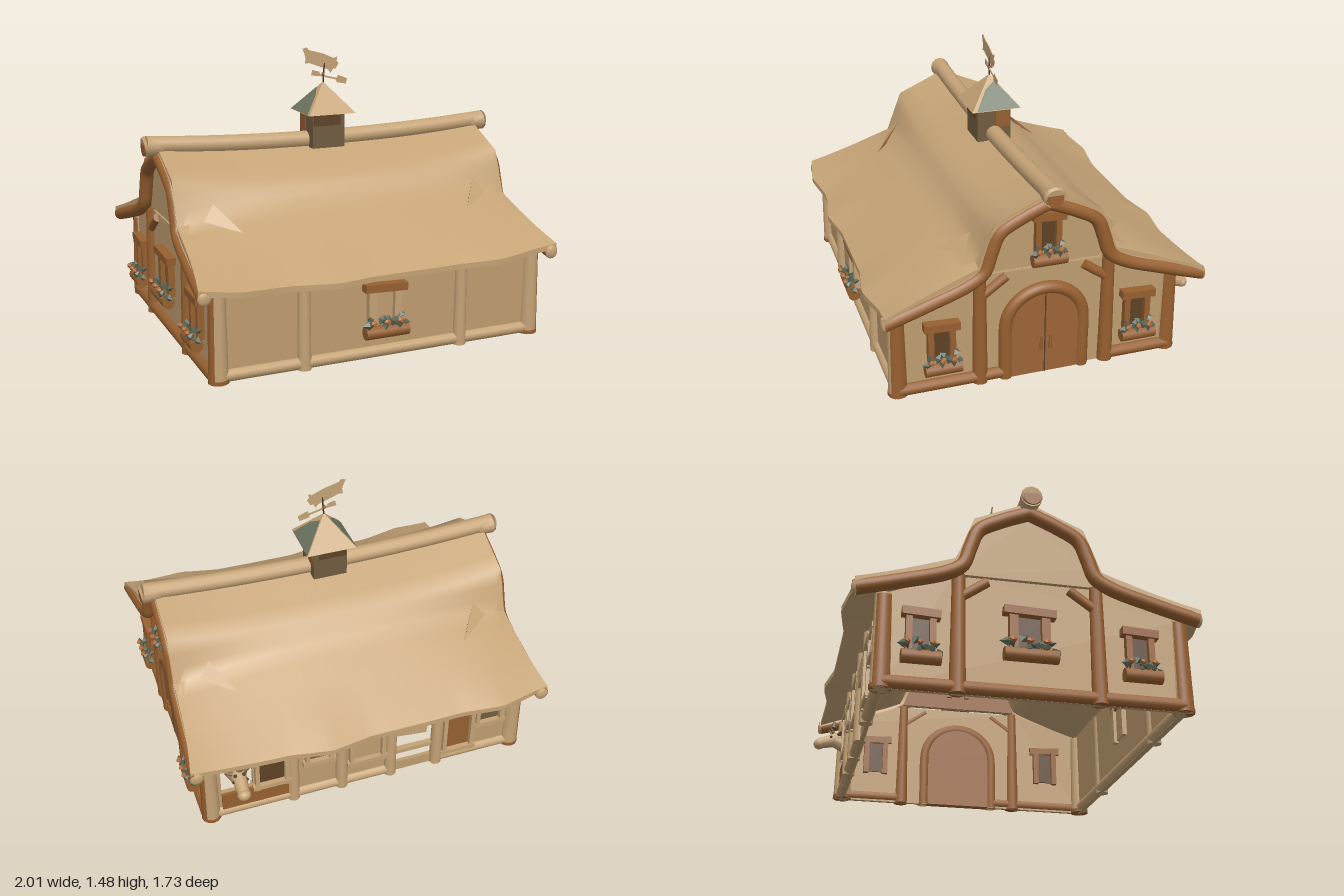
import * as THREE from 'three';
import { toCreasedNormals } from 'three/addons/utils/BufferGeometryUtils.js';
import { ParametricGeometry } from 'three/addons/geometries/ParametricGeometry.js';

const mat = (name, color, side = THREE.FrontSide) => {
  const m = new THREE.MeshStandardMaterial({ color, side });
  m.name = name;
  return m;
};
const M = {
  tan: mat('tan thatch and timber', 0xc5a376, THREE.DoubleSide),
  wall: mat('plaster', 0xbf9d70),
  brown: mat('brown timber', 0x976030, THREE.DoubleSide),
  door: mat('door wood', 0x9c6538),
  dark: mat('dark wood', 0x5f4226),
  worn: mat('weathered wood', 0x715c40),
  slate: mat('mossy slate', 0x6f7762, THREE.DoubleSide),
  leaf: mat('leaves', 0x586455),
  flower: mat('flowers', 0xb56c38),
  iron: mat('iron', 0x3c3228),
};
const FRONT = 0.75, BACK = 0.68;
const V = (x, y, z) => new THREE.Vector3(x, y, z);

function add(parent, name, geo, material, x = 0, y = 0, z = 0) {
  const m = new THREE.Mesh(geo, material);
  m.name = name;
  m.position.set(x, y, z);
  parent.add(m);
  return m;
}
const box = (p, name, mt, w, h, d, x, y, z) => add(p, name, new THREE.BoxGeometry(w, h, d), mt, x, y, z);

// Round timber between two points
function log(p, name, mt, a, b, r0, r1 = r0) {
  const m = add(p, name, new THREE.CylinderGeometry(r1, r0, a.distanceTo(b), 12), mt);
  m.position.copy(a).lerp(b, 0.5);
  m.quaternion.setFromUnitVectors(V(0, 1, 0), b.clone().sub(a).normalize());
  return m;
}
const poly = pts => new THREE.Shape(pts.map(p => new THREE.Vector2(p[0], p[1])));
const rect = (x0, y0, x1, y1) => poly([[x0, y0], [x1, y0], [x1, y1], [x0, y1]]);
const slab = (shape, depth) => new THREE.ExtrudeGeometry(shape, { depth, bevelEnabled: false, curveSegments: 16 });

// Triangles from a flat list of corners
function facets(corners) {
  const geo = new THREE.BufferGeometry();
  geo.setAttribute('position', new THREE.Float32BufferAttribute(corners.flat(), 3));
  geo.computeVertexNormals();
  return geo;
}

// Gives triangles whose normal passes the test the second material
function paintFacing(indexed, test) {
  const geo = indexed.toNonIndexed(), n = geo.attributes.normal;
  const mean = (i, get) => (n[get](i) + n[get](i + 1) + n[get](i + 2)) / 3;
  geo.clearGroups();
  for (let i = 0; i < n.count; i += 3) geo.addGroup(i, 3, test(mean(i, 'getY'), mean(i, 'getZ')) ? 1 : 0);
  return geo;
}

// Roof: a closed section loop swept along x, steep gambrel at the ends, softer in the middle.
// Each profile row is z, height at the ends, height in the middle.
const PROFILE = [[0, 1.01, 0.965], [0.27, 0.89, 0.835], [0.355, 0.665, 0.735], [0.6, 0.575, 0.585], [0.825, 0.495, 0.45]];
function roofGeometry() {
  const NU = 60, lerp = THREE.MathUtils.lerp;
  const bump = (e, c) => Math.max(0, 1 - Math.abs(e - c) / 0.22);
  const f = (u, v, out) => {
    const i = Math.round(u * NU), k = Math.round(v * 50) % 50;
    const e = THREE.MathUtils.clamp((i - 1) / (NU - 2), 0, 1) * 2 - 1;
    const inner = k > 24 && i > 0 && i < NU;
    const s = ((k > 24 ? 49 - k : k) - 12) / 3;
    const t = Math.abs(s), n = Math.min(3, Math.floor(t)), q = t - n;
    const a = PROFILE[n], b = PROFILE[n + 1], w = t / 4;
    let z = lerp(a[0], b[0], q);
    let y = lerp(lerp(a[2], b[2], q), lerp(a[1], b[1], q), Math.abs(e) ** 3);
    if (n === 3) for (const c of s > 0 ? [-0.8, -0.28, 0.64] : [-0.72, 0.25]) z += 0.035 * q * bump(e, c);
    if (inner) y -= 0.05 - 0.022 * w * w;
    out.set(e * (0.928 + 0.045 * w ** 4), y, z * Math.sign(s));
  };
  return toCreasedNormals(new ParametricGeometry(f, NU, 50), 0.8);
}

// Framed window with header and flower box; y is the bottom of the box
function flowerWindow(p, x, y, pane, jamb = M.brown, s = 1) {
  const g = new THREE.Group();
  g.name = 'flowerWindow';
  g.position.set(x, y, 0);
  g.scale.set(s, 1, 1);
  p.add(g);
  box(g, 'pane', pane, 0.1, 0.18, 0.036, 0, 0.15, 0);
  for (const k of [-1, 1]) box(g, 'jamb', jamb, 0.03, 0.2, 0.08, k * 0.055, 0.15, 0.005);
  const header = box(g, 'header', M.brown, 0.18, 0.04, 0.09, 0, 0.255, 0.015);
  header.rotation.z = -0.05;
  log(g, 'planter', M.brown, V(-0.092, 0.03, 0.055), V(0.092, 0.03, 0.055), 0.033);
  for (let i = 0; i < 10; i++) {
    const bx = -0.085 + i * 0.019;
    const leaf = add(g, 'leaf', new THREE.OctahedronGeometry(0.025), M.leaf, bx, 0.08 + 0.022 * Math.sin(i * 2.6), 0.06 + 0.022 * Math.cos(i * 1.9));
    leaf.scale.set(1.1, 0.9, 0.6);
    leaf.rotation.set(i, i * 2, i * 0.7);
    if (i % 3 === 1) add(g, 'flower', new THREE.IcosahedronGeometry(0.015), M.flower, bx, 0.09, 0.09);
  }
}

function wallGroup(root, name, angle, dist) {
  const g = new THREE.Group();
  g.name = name;
  g.rotation.y = angle;
  g.position.set(Math.sin(angle) * dist, 0, Math.cos(angle) * dist);
  root.add(g);
  return g;
}

// Timbers and walls shared by both gables; x0 and x1 are the corner post positions
function gable(g, x0, x1) {
  const low = poly([[x0, 0], [x1, 0], [x1, 0.47], [0.36, 0.594], [-0.36, 0.594], [x0, 0.47]]);
  const high = poly([[-0.34, 0.606], [0.34, 0.606], [0.31, 0.7], [0.25, 0.84], [0, 0.95], [-0.25, 0.84], [-0.31, 0.7]]);
  add(g, 'lowerWall', slab(low, 0.02), M.wall, 0, 0, -0.01);
  add(g, 'upperWall', slab(high, 0.02), M.wall, 0, 0, -0.01);
  add(g, 'loftBoarding', slab(high, 0.008), M.brown, 0, 0, -0.019);
  const bleached = (ny, nz) => nz < 0.35 && ny > -0.1;
  for (const k of [-1, 1]) {
    const path = [[0, 0.955, 0.048], [0.14, 0.895, 0.048], [0.248, 0.83, 0.048], [0.29, 0.73, 0.048], [0.325, 0.635, 0.05], [0.4, 0.585, 0.054], [0.6, 0.518, 0.063], [0.825, 0.452, 0.073]];
    const curve = new THREE.CatmullRomCurve3(path.map(q => V(k * q[0], q[1], q[2])));
    add(g, 'vergeBeam', paintFacing(new THREE.TubeGeometry(curve, 36, 0.036, 16), bleached), [M.brown, M.tan]);
    const end = add(g, 'vergeEnd', new THREE.SphereGeometry(0.036, 10, 8), M.tan, k * 0.825, 0.452, 0.073);
    end.scale.x = 0.4;
    log(g, 'post', M.brown, V(k * 0.335, 0, 0.01), V(k * 0.335, 0.6, 0.01), 0.04, 0.032);
    log(g, 'brace', M.brown, V(k * 0.32, 0.49, 0.012), V(k * 0.2, 0.575, 0.012), 0.025);
  }
  for (const x of [x0, x1])
    add(g, 'cornerPostFace', new THREE.CylinderGeometry(0.043, 0.051, 0.46, 8, 1, false, -0.9, 1.8), M.brown, x, 0.23, -0.01);
}

// Arched double door with a rounded frame
function archDoor(g) {
  const spring = 0.285, leaf = new THREE.Shape();
  leaf.moveTo(-0.18, 0); leaf.lineTo(0.18, 0); leaf.lineTo(0.18, spring);
  leaf.absarc(0, spring, 0.18, 0, Math.PI, false);
  leaf.lineTo(-0.18, 0);
  add(g, 'doors', slab(leaf, 0.05), M.door, 0, 0, -0.02);
  const r = 0.203, pts = [V(r, 0, 0.012), V(r, 0.14, 0.012)];
  for (let i = 0; i <= 10; i++) pts.push(V(r * Math.cos(i * Math.PI / 10), spring + r * 0.95 * Math.sin(i * Math.PI / 10), 0.012));
  pts.push(V(-r, 0.14, 0.012), V(-r, 0, 0.012));
  add(g, 'doorFrame', new THREE.TubeGeometry(new THREE.CatmullRomCurve3(pts), 48, 0.035, 10), M.brown);
  box(g, 'doorGap', M.dark, 0.006, 0.45, 0.006, 0, 0.225, 0.03);
  for (const k of [-1, 1])
    log(g, 'handle', M.brown, V(k * 0.024, 0.14, 0.045), V(k * 0.024, 0.22, 0.045), 0.008);
}

// Cow leaning out of its stall
function cow(g) {
  const c = new THREE.Group();
  c.name = 'cow';
  c.position.set(-0.715, 0, 0);
  g.add(c);
  log(c, 'neck', M.tan, V(0, 0.25, -0.06), V(0, 0.3, 0.07), 0.055, 0.04);
  log(c, 'head', M.tan, V(0, 0.308, 0.05), V(0, 0.278, 0.155), 0.042, 0.031);
  add(c, 'brow', new THREE.SphereGeometry(0.042, 12, 8), M.tan, 0, 0.308, 0.05);
  add(c, 'muzzle', new THREE.SphereGeometry(0.036, 12, 8), M.tan, 0, 0.273, 0.16).scale.set(1, 0.85, 0.85);
  for (const k of [-1, 1]) {
    log(c, 'horn', M.worn, V(k * 0.022, 0.335, 0.08), V(k * 0.032, 0.375, 0.105), 0.01, 0.002);
    log(c, 'ear', M.worn, V(k * 0.03, 0.325, 0.05), V(k * 0.07, 0.335, 0.04), 0.014, 0.004);
    add(c, 'eye', new THREE.SphereGeometry(0.008, 6, 5), M.iron, k * 0.036, 0.31, 0.095);
  }
  log(c, 'bell', M.worn, V(0, 0.375, 0.08), V(0, 0.42, 0.08), 0.019, 0.004);
}

export function createModel() {
  const root = new THREE.Group();
  root.name = 'barn';

  // Roof, ridge log with swollen ends, and triangular vents
  add(root, 'roof', roofGeometry(), M.tan);
  const ridge = new THREE.QuadraticBezierCurve3(V(-0.98, 1.02, 0), V(0, 0.945, 0), V(0.98, 1.02, 0));
  add(root, 'ridgeLog', new THREE.TubeGeometry(ridge, 24, 0.046, 12), M.tan);
  for (const k of [-1, 1]) {
    log(root, 'ridgeEnd', M.tan, V(k * 0.9, 1.005, 0), V(k * 0.985, 1.012, 0), 0.046, 0.055);
    log(root, 'ridgeTip', M.tan, V(k * 0.985, 1.012, 0), V(k * 0.998, 1.01, 0), 0.055, 0.046);
    log(root, 'ridgeEndGrain', M.brown, V(k * 0.994, 1.005, 0), V(k, 1.005, 0), 0.043);
    for (const j of [-1, 1]) {
      const a = [k * 0.74, 0.765, j * 0.34], b = [k * 0.8, 0.69, j * 0.38], c = [k * 0.63, 0.64, j * 0.49], d = [k * 0.67, 0.67, j * 0.43];
      add(root, 'roofVent', facets([a, b, c]), M.tan);
      add(root, 'roofVentEdge', facets([a, c, d]), M.brown);
    }
  }

  // Front wall
  const front = wallGroup(root, 'frontWall', 0, FRONT);
  box(front, 'wall', M.wall, 1.74, 0.48, 0.02, 0, 0.24, 0);
  for (const x of [-0.425, 0.44]) log(front, 'post', M.tan, V(x, 0, 0.01), V(x, 0.46, 0.01), 0.036, 0.031);
  log(front, 'sill', M.tan, V(-0.86, 0.032, 0.005), V(0.86, 0.032, 0.005), 0.032);
  flowerWindow(front, 0, 0.12, M.wall, M.tan, 1.28);

  // Back wall with stalls, hatches and one open doorway
  const back = wallGroup(root, 'backWall', Math.PI, BACK);
  const shape = rect(-0.87, 0, 0.87, 0.5);
  shape.holes.push(rect(0.15, 0.06, 0.39, 0.39), rect(-0.8, 0.16, -0.63, 0.4));
  add(back, 'wall', slab(shape, 0.02), M.wall, 0, 0, -0.01);
  for (const x of [-0.41, -0.14, 0.14, 0.41]) log(back, 'post', M.tan, V(x, 0, 0.01), V(x, 0.48, 0.01), 0.034, 0.03);
  for (const [x0, x1] of [[-0.86, 0.14], [0.41, 0.86]]) log(back, 'sill', M.tan, V(x0, 0.03, 0.005), V(x1, 0.03, 0.005), 0.03);
  log(back, 'lintel', M.tan, V(-0.86, 0.41, 0.005), V(0.86, 0.41, 0.005), 0.025);
  const bays = [[-0.53, 0.16, 0.24, 0.28, M.dark], [-0.27, 0.13, 0.12, 0.3, M.worn], [0, 0.18, 0.22, 0.27, M.wall], [0.53, 0.16, 0.3, 0.22, M.brown], [0.71, 0.14, 0.13, 0.28, M.worn]];
  for (const [x, w, h, y, m] of bays) {
    box(back, 'hatch', m, w, h, 0.03, x, y, 0);
    for (const k of [-1, 1]) {
      box(back, 'hatchJamb', M.tan, 0.022, h + 0.04, 0.06, x + k * w / 2, y, 0.01);
      box(back, 'hatchRail', M.tan, w + 0.05, 0.025, 0.065, x, y + k * h / 2, 0.01);
    }
  }
  box(back, 'stallHalfDoor', M.brown, 0.36, 0.11, 0.04, -0.62, 0.1, 0.005);
  const gate = box(back, 'gate', M.tan, 0.18, 0.1, 0.02, 0.25, 0.32, 0.025);
  gate.rotation.z = -0.12;
  box(back, 'gateRail', M.tan, 0.25, 0.025, 0.03, 0.27, 0.14, 0);
  cow(back);

  // Corner posts with worn feet
  for (const x of [-0.86, 0.86]) for (const z of [-BACK, FRONT]) {
    log(root, 'cornerPost', M.tan, V(x, 0, z), V(x, 0.47, z), 0.049, 0.041);
    log(root, 'cornerFoot', M.brown, V(x, 0, z), V(x, 0.02, z), 0.052);
  }

  // Door gable on the left side of the barn
  const doorGable = wallGroup(root, 'doorGable', Math.PI / 2, 0.87);
  gable(doorGable, -FRONT, BACK);
  archDoor(doorGable);
  for (const [x0, x1] of [[-FRONT, -0.215], [0.335, BACK]]) log(doorGable, 'sill', M.brown, V(x0, 0.032, 0.012), V(x1, 0.032, 0.012), 0.032);
  for (const x of [-0.535, 0.495]) flowerWindow(doorGable, x, 0.115, M.dark);
  flowerWindow(doorGable, 0.005, 0.625, M.dark, M.brown, 0.95);

  // Opposite gable with three windows
  const windowGable = wallGroup(root, 'windowGable', -Math.PI / 2, 0.87);
  gable(windowGable, -BACK, FRONT);
  log(windowGable, 'sill', M.brown, V(-BACK, 0.032, 0.012), V(FRONT, 0.032, 0.012), 0.032);
  for (const x of [-0.51, 0.535]) flowerWindow(windowGable, x, 0.115, M.dark);
  flowerWindow(windowGable, 0, 0.17, M.dark, M.brown, 1.4);

  // Cupola with mossy patches on the side slopes
  const cupola = new THREE.Group();
  cupola.name = 'cupola';
  root.add(cupola);
  box(cupola, 'base', M.worn, 0.185, 0.2, 0.185, -0.005, 1.045, 0);
  for (const k of [-1, 1]) {
    box(cupola, 'louvre', M.dark, 0.15, 0.07, 0.006, -0.015, 1.1, k * 0.093);
    box(cupola, 'sideBoard', M.brown, 0.006, 0.12, 0.08, k * 0.093 - 0.005, 1.08, -0.045);
  }
  const cap = new THREE.ConeGeometry(0.135 * Math.SQRT2, 0.16, 4, 1, false, Math.PI / 4).toNonIndexed();
  cap.computeVertexNormals();
  add(cupola, 'cap', cap, M.tan, 0, 1.21, 0);
  for (const k of [-1, 1])
    add(cupola, 'moss', facets([[k * 0.136, 1.133, 0.11], [k * 0.136, 1.133, -0.13], [k * 0.028, 1.262, -0.02], [k * 0.136, 1.133, 0.11], [k * 0.028, 1.262, -0.02], [k * 0.06, 1.225, 0.04]]), M.slate);

  // Weather vane: flat pig over a tilted arrow
  const vane = new THREE.Group();
  vane.name = 'weatherVane';
  root.add(vane);
  log(vane, 'rod', M.iron, V(0, 1.28, 0), V(0.008, 1.39, 0), 0.004);
  const pig = poly([[-0.12, 0.025], [-0.1, 0.04], [-0.085, 0.03], [0, 0.038], [0.07, 0.035], [0.085, 0.05], [0.09, 0.025], [0.105, 0.02], [0.1, -0.015], [0.085, -0.02],
    [0.08, -0.045], [0.06, -0.033], [-0.06, -0.035], [-0.08, -0.045], [-0.085, -0.015], [-0.105, 0.01]]);
  add(vane, 'pig', slab(pig, 0.004), M.tan, -0.014, 1.405, -0.002).rotation.z = -0.36;
  const arrow = poly([[-0.07, 0.018], [-0.03, 0.018], [-0.02, 0.005], [0.08, 0.005], [0.085, 0.022], [0.14, 0.015], [0.14, -0.015], [0.085, -0.018], [0.08, -0.005], [-0.02, -0.005], [-0.07, -0.012]]);
  add(vane, 'arrow', slab(arrow, 0.004), M.tan, 0.002, 1.32, -0.002).rotation.z = -0.25;
  add(vane, 'bead', new THREE.SphereGeometry(0.01, 8, 6), M.brown, 0, 1.33, 0);
  return root;
}
